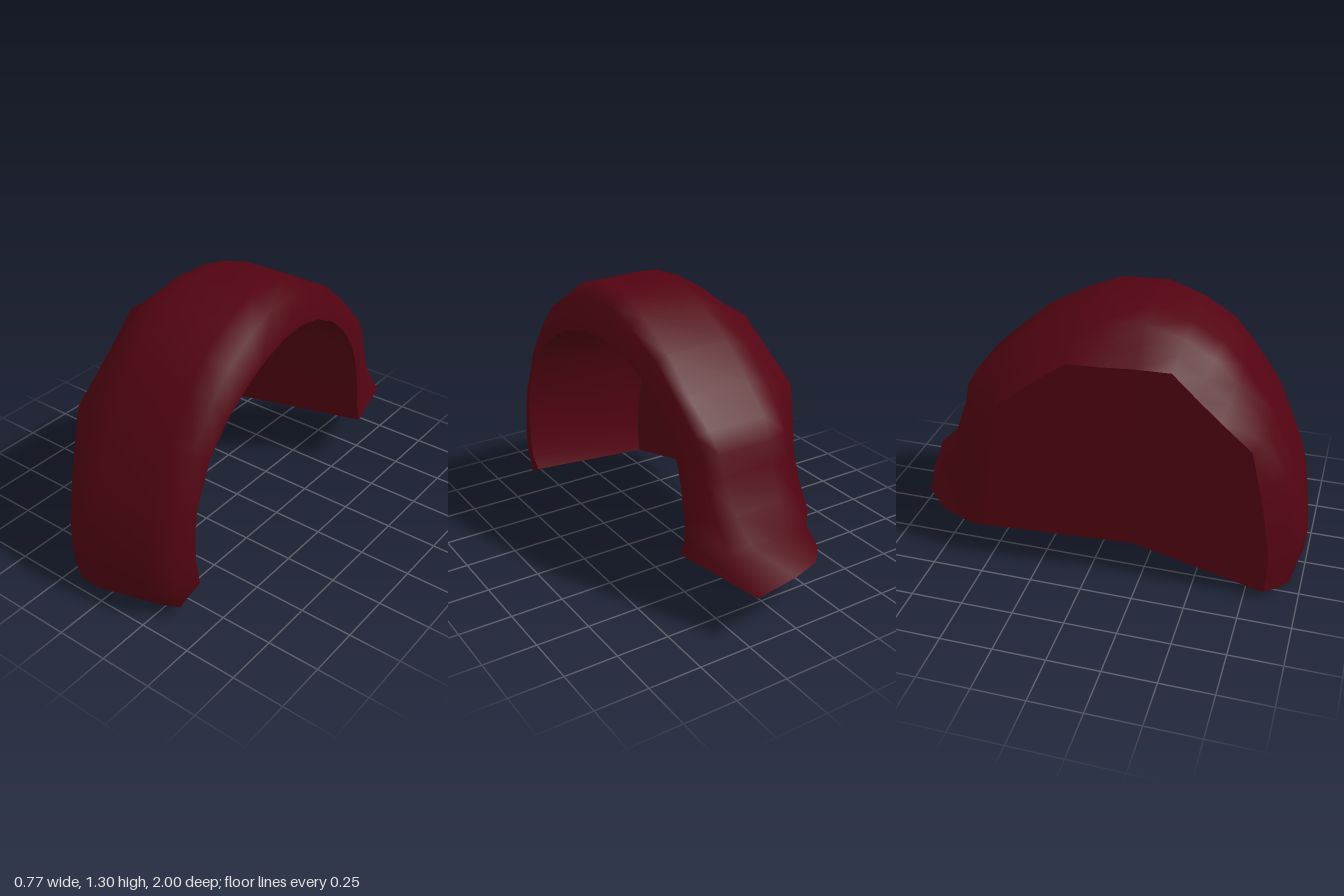
import * as THREE from 'three';

const { lerp, clamp } = THREE.MathUtils;

// Stations from the front foot, over the top, to the rear:
// crown z,y - wheel opening lip z,y - inner wall edge z,y
const STATIONS = [
  [0.99, 0.12, 0.775, 0.21, 0.85, 0.12],
  [1.0, 0.25, 0.79, 0.3, 0.85, 0.23],
  [0.97, 0.43, 0.79, 0.45, 0.82, 0.42],
  [0.92, 0.58, 0.77, 0.57, 0.787, 0.58],
  [0.8, 0.85, 0.68, 0.77, 0.74, 0.78],
  [0.65, 1.06, 0.56, 0.9, 0.6, 0.9],
  [0.55, 1.17, 0.45, 0.98, 0.48, 1.01],
  [0.4, 1.25, 0.33, 1.05, 0.37, 1.115],
  [0.22, 1.305, 0.15, 1.095, 0.21, 1.115],
  [0, 1.295, 0, 1.095, 0.05, 1.11],
  [-0.16, 1.23, -0.15, 1.06, -0.1, 1.11],
  [-0.36, 1.12, -0.32, 0.97, -0.275, 0.985],
  [-0.52, 0.98, -0.44, 0.86, -0.43, 0.865],
  [-0.65, 0.86, -0.515, 0.75, -0.445, 0.77],
  [-0.7, 0.77, -0.55, 0.67, -0.455, 0.7],
  [-0.72, 0.67, -0.575, 0.58, -0.465, 0.61],
  [-0.78, 0.5, -0.6, 0.45, -0.485, 0.47],
  [-0.85, 0.38, -0.605, 0.36, -0.51, 0.34],
];
// End sections, from the inner wall to the lip
const FRONT_END = [
  [-0.32, 0.03, 0.84], [-0.25, 0.015, 0.9], [-0.17, 0, 0.945], [-0.06, 0.008, 0.95],
  [0.25, 0.045, 0.895], [0.35, 0.06, 0.865], [0.37, 0.13, 0.75],
];
const REAR_END = [
  [-0.385, 0.19, -0.53], [-0.36, 0.172, -0.61], [-0.31, 0.187, -0.76], [-0.2, 0.205, -0.88],
  [-0.04, 0.215, -0.94], [0.215, 0.23, -1.0], [0.34, 0.28, -0.6],
];

// Cross-section of the shell at one station
function section([cz, cy, lz, ly, wz, wy]) {
  const wallX = lerp(-0.32, -0.385, clamp((0.3 - wz) / 0.83, 0, 1));
  const lipX = lerp(0.385, 0.32, clamp((0.3 - lz) / 0.72, 0, 1));
  const flare = clamp((-0.6 - cz) / 0.25, 0, 1); // shoulder draws in towards the tail
  const toe = clamp((cz - 0.3) / 0.6, 0, 1); // front turns slightly to the inner side
  const inner = 0.74 + 0.12 * toe * toe + 0.16 * flare;
  const fromWall = (x, t) => [x, lerp(wy, cy, t), lerp(wz, cz, t)];
  const fromLip = (x, t) => [x, lerp(ly, cy, t), lerp(lz, cz, t)];
  return [
    [wallX, wy, wz],
    fromWall(lerp(wallX, -0.18, 0.5), inner * lerp(0.5, 0.65, flare)),
    fromWall(-0.18, inner),
    fromWall(-0.06, 0.99),
    fromLip(lerp(0.25, 0.14, flare), lerp(0.99, 0.8, toe)),
    fromLip(lerp(lipX - 0.028, 0.26, flare), lerp(0.75, 0.54, toe) + 0.25 * flare),
    [lipX, ly, lz],
  ];
}

// Smooth surface through rows of points
function gridGeometry(rows) {
  const n = rows[0].length;
  const index = [];
  for (let i = 0; i < rows.length - 1; i++) {
    for (let j = 0; j < n - 1; j++) {
      const a = i * n + j, c = a + n;
      index.push(a, a + 1, c, a + 1, c + 1, c);
    }
  }
  const geometry = new THREE.BufferGeometry();
  geometry.setAttribute('position', new THREE.Float32BufferAttribute(rows.flat(2), 3));
  geometry.setIndex(index);
  geometry.computeVertexNormals();
  return geometry;
}

// Flat panel fanned out from one corner
function fanGeometry(corner, edge) {
  const points = [];
  for (let i = 0; i < edge.length - 1; i++) points.push(corner, edge[i], edge[i + 1]);
  const geometry = new THREE.BufferGeometry();
  geometry.setAttribute('position', new THREE.Float32BufferAttribute(points.flat(), 3));
  geometry.computeVertexNormals();
  return geometry;
}

export function createModel() {
  const group = new THREE.Group();
  group.name = 'fender';
  const paint = new THREE.MeshStandardMaterial({ color: 0x530411, side: THREE.DoubleSide });
  const add = (name, geometry) => {
    const mesh = new THREE.Mesh(geometry, paint);
    mesh.name = name;
    group.add(mesh);
  };

  const rows = [FRONT_END, ...STATIONS.map(section), REAR_END];
  const lip = FRONT_END.length - 1;

  // Rounded outside, from the inner wall over the crown to the wheel opening
  add('outerShell', gridGeometry(rows));
  // Underside of the arch around the wheel
  add('wheelWell', gridGeometry(rows.map((r) => [r[lip], r[0]])));
  // Flat wall closing the inner side
  add('innerWall', fanGeometry([-0.328, 0.19, 0.2], rows.map((r) => r[0])));
  // Closed ends at the foot and the tail
  add('frontEnd', fanGeometry(FRONT_END[lip], FRONT_END.slice(0, lip).reverse()));
  add('rearEnd', fanGeometry(REAR_END[lip], REAR_END.slice(0, lip)));

  return group;
}
